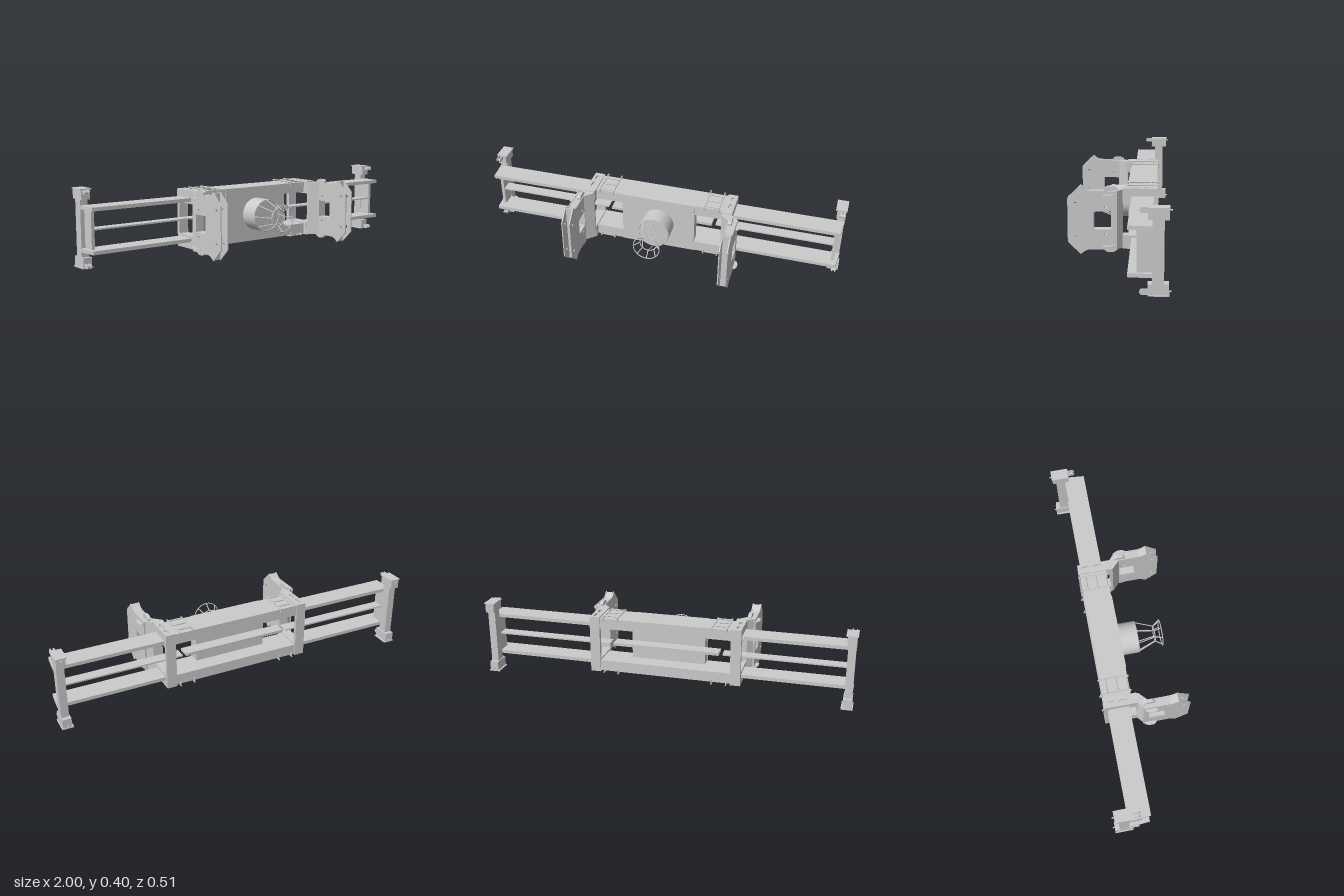
import * as THREE from 'three';

const mat = new THREE.MeshStandardMaterial({ color: 0xcccccc, flatShading: true });
const smooth = new THREE.MeshStandardMaterial({ color: 0xcccccc });

function add(parent, name, geo, material = mat) {
  const m = new THREE.Mesh(geo, material);
  m.name = name;
  parent.add(m);
  return m;
}

// Box given by its extents on each axis
function box(parent, name, x0, x1, y0, y1, z0, z1) {
  const g = new THREE.BoxGeometry(x1 - x0, y1 - y0, z1 - z0);
  g.translate((x0 + x1) / 2, (y0 + y1) / 2, (z0 + z1) / 2);
  return add(parent, name, g);
}

// Round bar between two points
function rod(parent, name, a, b, r, sides = 8) {
  const p = new THREE.Vector3(...a), q = new THREE.Vector3(...b);
  const d = q.clone().sub(p);
  const m = add(parent, name, new THREE.CylinderGeometry(r, r, d.length(), sides), smooth);
  m.position.copy(p).add(q).multiplyScalar(0.5);
  m.quaternion.setFromUnitVectors(new THREE.Vector3(0, 1, 0), d.normalize());
  return m;
}

const shapeOf = pts => new THREE.Shape(pts.map(p => new THREE.Vector2(...p)));
const hole = (x, y, r) => new THREE.Path().absarc(x, y, r, 0, Math.PI * 2, true);
const extrude = (shape, depth) =>
  new THREE.ExtrudeGeometry(shape, { depth, bevelEnabled: false, curveSegments: 10 });

// Side profile in (z, y), running from x0 to x1
function sideProfile(parent, name, shape, x0, x1) {
  return add(parent, name, extrude(shape, x1 - x0).rotateY(-Math.PI / 2).translate(x1, 0, 0));
}

// Plan outline in (x, z), running from y0 to y1
function planProfile(parent, name, shape, y0, y1) {
  return add(parent, name, extrude(shape, y1 - y0).rotateX(Math.PI / 2).translate(0, y1, 0));
}

// Side plate outline, with its front edge cut at zMax
function bladeShape(zMax, inset) {
  const cut = Math.min(zMax, 0.258), k = Math.max(0, cut - 0.193), i = inset;
  const half = [[0.01, 0.15 - i], [0.148, 0.15 - i], [0.162, 0.153 - i], [0.173, 0.159 - i],
    [0.193, 0.175 - i], [cut, 0.175 - i - k * 0.97]];
  const s = shapeOf([
    ...half.map(([z, h]) => [z, 0.2 - h]),
    ...half.slice().reverse().map(([z, h]) => [z, 0.2 + h]),
  ]);
  s.holes.push(new THREE.Path([[0.04, 0.155], [0.04, 0.247], [0.127, 0.247], [0.127, 0.155]]
    .map(p => new THREE.Vector2(...p))));
  for (const d of [-1, 1]) {
    s.holes.push(hole(0.066, 0.2 + d * 0.07, 0.007));
    if (zMax > 0.24) s.holes.push(hole(0.222, 0.2 + d * 0.086, 0.008));
  }
  return s;
}

function slot(x, z) {
  const p = new THREE.Path(), r = 0.009, h = 0.013;
  p.absarc(x, z + h, r, 0, Math.PI, false);
  p.absarc(x, z - h, r, Math.PI, Math.PI * 2, false);
  p.closePath();
  return p;
}

// Upper details, reflected about mid height for the lower half
function halfDetails(parent, name) {
  const g = new THREE.Group();
  g.name = name;
  parent.add(g);

  // Collar with slotted cap
  box(g, 'collarBlock', 0.358, 0.413, 0.285, 0.345, -0.194, -0.015);
  const cap = shapeOf([[0.358, -0.194], [0.413, -0.194], [0.413, -0.015], [0.358, -0.015]]);
  cap.holes.push(slot(0.39, -0.15), slot(0.39, -0.085));
  planProfile(g, 'collarCap', cap, 0.345, 0.356);

  // Telescoping arm flange
  planProfile(g, 'armFlange',
    shapeOf([[0.35, -0.172], [0.995, -0.172], [0.985, -0.06], [0.35, -0.06]]), 0.298, 0.317);

  // Ladder of rods lying across the beam
  for (const x of [0.258, 0.337]) {
    rod(g, 'ladderRail', [x, 0.357, -0.2], [x, 0.357, -0.036], 0.004);
    for (const z of [-0.193, -0.038]) rod(g, 'ladderLeg', [x, 0.335, z], [x, 0.357, z], 0.004);
  }
  for (const z of [-0.16, -0.105, -0.05])
    rod(g, 'ladderRung', [0.258, 0.357, z], [0.337, 0.357, z], 0.004);

  // Lug and guide tab on the side bracket
  sideProfile(g, 'bracketLug', shapeOf([[0.01, 0.345], [0.075, 0.345], [0.075, 0.36],
    [0.06, 0.37], [0.03, 0.37], [0.01, 0.358]]), 0.409, 0.428);
  planProfile(g, 'guideTab', shapeOf([[0.45, 0.02], [0.46, 0.015], [0.472, 0.04],
    [0.472, 0.07], [0.46, 0.085], [0.45, 0.075]]), 0.328, 0.333);

  // End foot with hook and locking pin
  box(g, 'footBlock', 0.948, 0.995, 0.345, 0.395, -0.243, -0.15);
  box(g, 'footPlate', 0.94, 1, 0.394, 0.4, -0.246, -0.15);
  const hook = new THREE.Shape();
  hook.moveTo(-0.15, 0.374);
  hook.lineTo(-0.124, 0.374);
  hook.absarc(-0.124, 0.385, 0.011, -Math.PI / 2, Math.PI / 2, false);
  hook.lineTo(-0.15, 0.396);
  hook.closePath();
  for (const x of [0.966, 0.984]) sideProfile(g, 'hookCheek', hook, x, x + 0.005);
  rod(g, 'hookRoller', [0.964, 0.383, -0.126], [0.991, 0.383, -0.126], 0.006, 12);
  rod(g, 'lockingPin', [0.97, 0.385, -0.24], [0.97, 0.385, -0.256], 0.004);
  return g;
}

function buildSide() {
  const side = new THREE.Group();
  side.name = 'side';
  halfDetails(side, 'upperHalf');
  const lower = halfDetails(side, 'lowerHalf');
  lower.scale.y = -1;
  lower.position.y = 0.4;

  // Collar back wall and angled bracket neck
  box(side, 'collarBackWall', 0.358, 0.413, 0.1, 0.3, -0.194, -0.174);
  planProfile(side, 'bracketNeck', shapeOf([[0.36, -0.016], [0.413, -0.016], [0.452, 0.018],
    [0.452, 0.038], [0.405, 0.038], [0.36, -0.005]]), 0.05, 0.35);

  // Side bracket: two cheek plates around a filled core
  const plate = bladeShape(0.258, 0);
  sideProfile(side, 'innerCheekPlate', plate, 0.404, 0.41);
  sideProfile(side, 'outerCheekPlate', plate, 0.446, 0.452);
  sideProfile(side, 'bracketCore', bladeShape(0.195, 0.004), 0.41, 0.446);

  // Middle rail, end web and end post
  box(side, 'middleRail', 0.31, 0.96, 0.196, 0.204, -0.165, -0.105);
  box(side, 'endWeb', 0.955, 0.972, 0.1, 0.3, -0.172, -0.1);
  box(side, 'endPost', 0.953, 0.993, 0.05, 0.35, -0.222, -0.17);
  return side;
}

export function createModel() {
  const model = new THREE.Group();
  model.name = 'liftingFrame';

  // Central frame
  box(model, 'upperBeam', -0.36, 0.36, 0.292, 0.35, -0.188, -0.042);
  box(model, 'lowerBeam', -0.36, 0.36, 0.05, 0.108, -0.188, -0.042);
  box(model, 'frontPanel', -0.205, 0.205, 0.05, 0.35, -0.046, -0.038);
  box(model, 'centreBox', -0.203, 0.203, 0.105, 0.295, -0.1, -0.044);
  box(model, 'centreRail', -0.29, 0.29, 0.192, 0.208, -0.165, -0.1);

  // Round housing with a flared wire cage
  const cage = new THREE.Group();
  cage.name = 'cagedHousing';
  cage.position.y = 0.2;
  model.add(cage);
  const housing = new THREE.CylinderGeometry(0.088, 0.088, 0.1, 40);
  add(cage, 'housing', housing.rotateX(Math.PI / 2).translate(0, 0, 0.01), smooth);
  const rings = [[0.085, 0.06], [0.045, 0.158], [0.072, 0.195]];
  for (const [r, z] of rings)
    add(cage, 'cageRing', new THREE.TorusGeometry(r, 0.003, 6, 32).translate(0, 0, z), smooth);
  for (let i = 0; i < 8; i++) {
    const a = i * Math.PI / 4;
    const pts = rings.map(([r, z]) => [r * Math.cos(a), r * Math.sin(a), z]);
    rod(cage, 'cageBar', pts[0], pts[1], 0.003, 6);
    rod(cage, 'cageBar', pts[1], pts[2], 0.003, 6);
  }

  // Mirrored sides
  const left = buildSide(), right = buildSide();
  left.name = 'leftSide';
  right.name = 'rightSide';
  right.scale.x = -1;
  model.add(left, right);
  return model;
}
